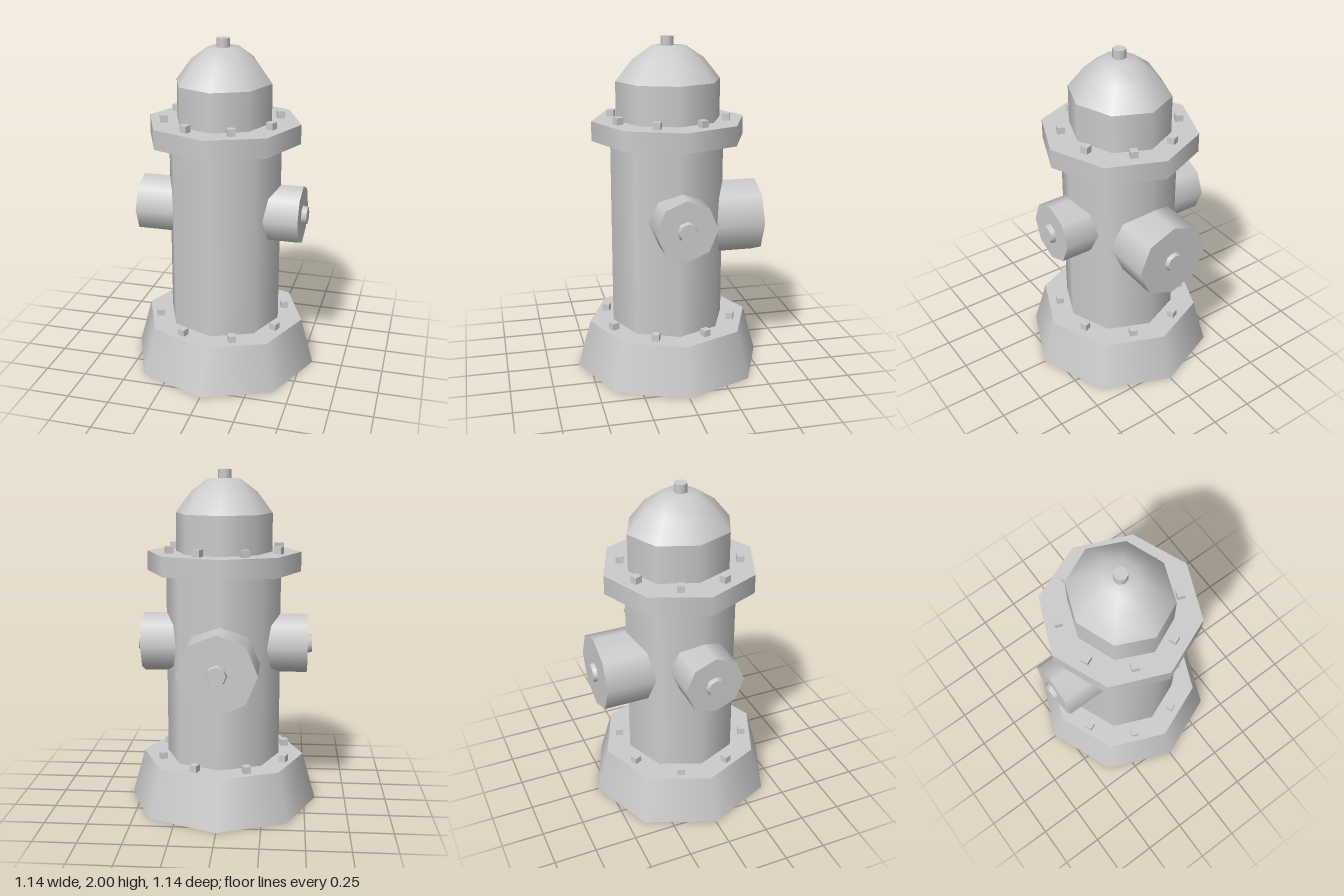
import * as THREE from 'three';

const SIDES = 8;
const material = new THREE.MeshStandardMaterial({ color: 0xcccccc });

function addMesh(parent, name, geometry, x = 0, y = 0, z = 0) {
  const mesh = new THREE.Mesh(geometry, material);
  mesh.name = name;
  mesh.position.set(x, y, z);
  parent.add(mesh);
  return mesh;
}

// Octagonal section standing between two heights
function addSection(parent, name, rBottom, rTop, y0, y1, x = 0, z = 0) {
  const geometry = new THREE.CylinderGeometry(rTop, rBottom, y1 - y0, SIDES);
  return addMesh(parent, name, geometry, x, (y0 + y1) / 2, z);
}

// Ring of eight small square bolts sitting on a flange
function addBolts(parent, name, radius, y, x, z) {
  const ring = new THREE.Group();
  ring.name = name;
  ring.position.set(x, y, z);
  const geometry = new THREE.BoxGeometry(0.044, 0.06, 0.044);
  for (let i = 0; i < 8; i++) {
    const a = ((i + 0.5) * Math.PI) / 4;
    const bolt = addMesh(ring, 'bolt', geometry, Math.sin(a) * radius, 0.01, Math.cos(a) * radius);
    bolt.rotation.y = a;
  }
  parent.add(ring);
}

// Outlet built along +y from inside the barrel, with a tapered cap nut
function addOutlet(parent, name, radius, reach, nutLength) {
  const outlet = new THREE.Group();
  outlet.name = name;
  addSection(outlet, 'outletBarrel', radius, radius, 0.18, reach);
  addSection(outlet, 'outletNut', 0.062, 0.053, reach - 0.01, reach + nutLength);
  parent.add(outlet);
  return outlet;
}

export function createModel() {
  const model = new THREE.Group();
  model.name = 'hydrant';

  // Foot, barrel and flange
  addSection(model, 'base', 0.568, 0.488, 0, 0.285);
  addSection(model, 'barrel', 0.341, 0.341, 0.27, 1.42, 0, 0.004);
  addSection(model, 'flange', 0.455, 0.455, 1.41, 1.525, -0.004, -0.002);
  addBolts(model, 'baseBolts', 0.39, 0.285, -0.01, 0.003);
  addBolts(model, 'flangeBolts', 0.342, 1.525, -0.012, 0);

  // Bonnet: straight collar, rounded dome and top nut
  const collar = addSection(model, 'bonnetCollar', 0.284, 0.284, 1.51, 1.75, -0.005, -0.002);
  const profile = [[0.284, 1.75], [0.194, 1.872], [0.096, 1.945], [0, 1.95]]
    .map(([r, y]) => new THREE.Vector2(r, y));
  const dome = addMesh(model, 'bonnetDome', new THREE.LatheGeometry(profile, SIDES), -0.005, 0, -0.002);
  collar.scale.z = dome.scale.z = 1.095;
  addSection(model, 'topNut', 0.039, 0.039, 1.93, 2, -0.008, 0.005);

  // Outlets on both sides and the larger one at the back
  const left = addOutlet(model, 'leftOutlet', 0.178, 0.475, 0.03);
  left.position.set(0, 0.977, -0.003);
  left.rotation.z = -Math.PI / 2;

  const right = addOutlet(model, 'rightOutlet', 0.178, 0.503, 0.028);
  right.position.set(0, 0.977, 0.004);
  right.rotation.z = Math.PI / 2;

  const back = addOutlet(model, 'backOutlet', 0.227, 0.54, 0.025);
  back.position.set(-0.003, 0.904, 0);
  back.rotation.x = -Math.PI / 2;

  return model;
}
